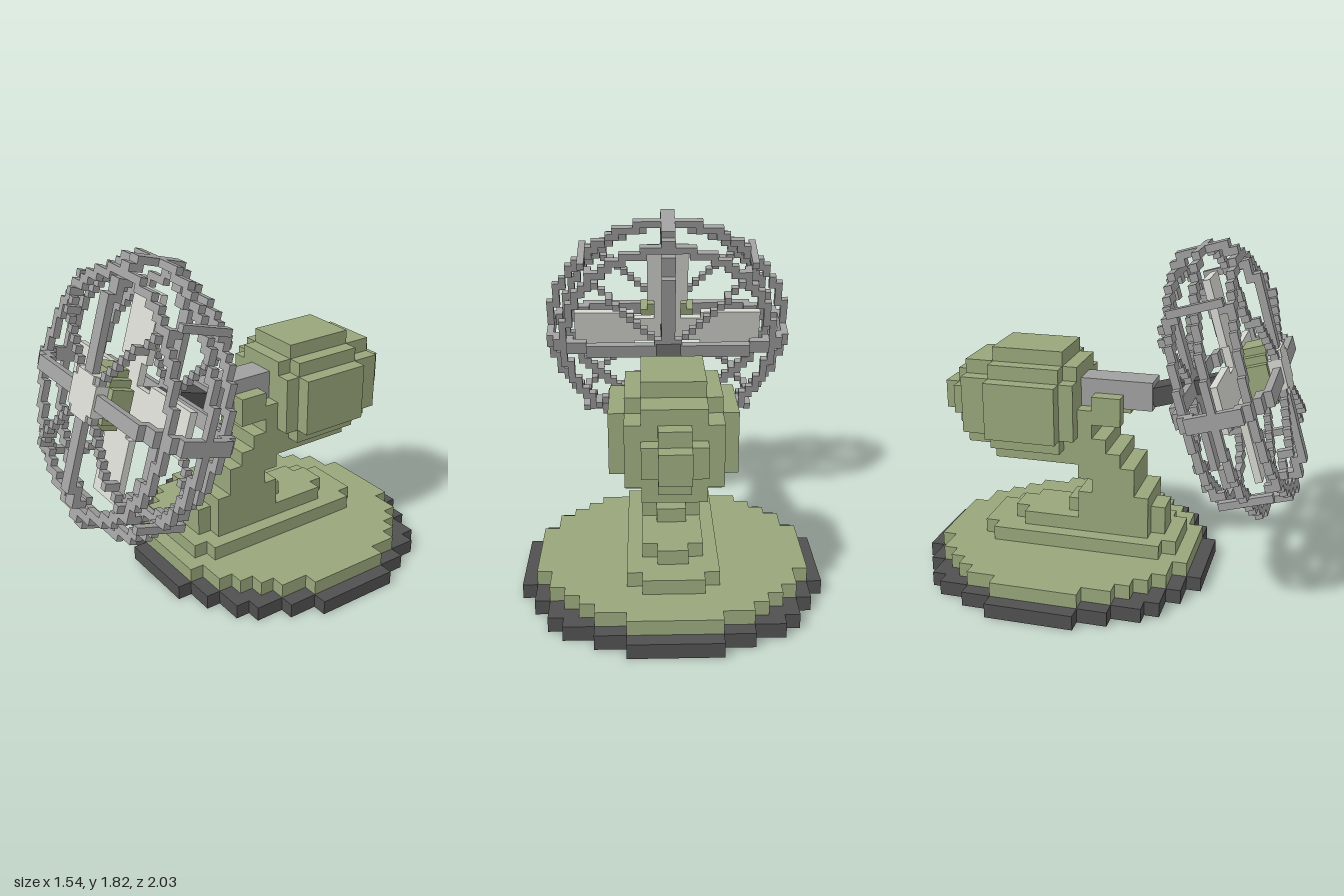
import * as THREE from 'three';
import { mergeGeometries } from 'three/addons/utils/BufferGeometryUtils.js';

const U = 0.077;      // body block
const V = U / 2;      // fan block

const mat = (name, color) => {
  const m = new THREE.MeshStandardMaterial({ color });
  m.name = name;
  return m;
};

// Box from min / max corners
const box = (x0, x1, y0, y1, z0, z1) =>
  new THREE.BoxGeometry(x1 - x0, y1 - y0, z1 - z0)
    .translate((x0 + x1) / 2, (y0 + y1) / 2, (z0 + z1) / 2);

// Blocky disc with a radius of r whole blocks of size s, facing z, between z0 and z1
function blockDisc(r, s, z0, z1) {
  const parts = [];
  let last = 0;
  for (let i = r - 1; i >= 0; i--) {
    const w = Math.round(Math.sqrt(r * r - (i + 0.5) ** 2));
    if (w === last) continue;
    last = w;
    parts.push(box(-w * s, w * s, -(i + 1) * s, (i + 1) * s, z0, z1));
  }
  return mergeGeometries(parts);
}

export function createModel() {
  const green = mat('sage green', 0x98a67b);
  const dark = mat('charcoal', 0x505050);
  const grey = mat('wire grey', 0xa0a0a0);
  const light = mat('pale grey', 0xd6d6d0);

  const model = new THREE.Group();
  const add = (name, geo, m, parent = model) => {
    const mesh = new THREE.Mesh(geo, m);
    mesh.name = name;
    parent.add(mesh);
    return mesh;
  };

  // Round base
  const flat = (r, y0, y1) =>
    blockDisc(r, U, y0, y1).rotateX(-Math.PI / 2).translate(0, 0, -3 * U);
  add('baseFoot', flat(10, 0, U), dark);
  add('basePlate', flat(9, U, 2 * U), green);

  // Stepped pedestal: [y0, y1, z0, z1, half width] in blocks
  const steps = [
    [2, 3, -8, 4, 3], [2, 3, -9, 5, 2],
    [3, 4, -6, 3, 2], [3, 4, -7, 4, 1],
    [4, 5, -2, 3, 2], [4, 5, -3, 4, 1],
    [5, 6, -2, 3, 2], [6, 7, -1, 2, 2], [7, 8, -2, 2, 2],
    [8, 9, -3, 1, 2], [9, 10, -3, 0, 2], [10, 12, -3, -1, 2],
  ];
  add('pedestal', mergeGeometries(steps.map(([y0, y1, z0, z1, w]) =>
    box(-w * U, w * U, y0 * U, y1 * U, z0 * U, z1 * U))), green);
  for (const s of [-1, 1]) {
    add('neckCheek', box(-U / 2, U / 2, 11 * U, 13 * U, -U, U), green).position.x = s * 1.5 * U;
  }

  // Motor housing
  const motor = new THREE.Group();
  motor.name = 'motor';
  motor.position.y = 12 * U;
  model.add(motor);
  for (const [r, z0, z1] of [[4, -8, -3], [3, -10, -2], [2, -11, -10], [1, -12, -11]]) {
    add('motorSection', blockDisc(r, U, z0 * U, z1 * U), green, motor);
  }
  add('driveShaft', box(-U, U, 12 * U, 14 * U, -2 * U, 3 * U), grey);

  // Tilted fan head, local z is the fan axis
  const fan = new THREE.Group();
  fan.name = 'fanHead';
  fan.position.set(0, 1.12, 0.65);
  fan.rotation.x = -0.288;
  model.add(fan);

  // Cage cells, mirrored into all four quadrants
  const cells = new Map();
  const put = (x, y, a) => {
    const i = Math.floor(x), j = Math.floor(y), k = Math.round(a);
    for (const sx of [-1, 1]) for (const sy of [-1, 1]) {
      const c = [sx * (i + 0.5), sy * (j + 0.5), k];
      cells.set(c.join(), c);
    }
  };

  // Cage rings: [radius, offset along axis]
  for (const [r, a] of [[17.5, 0], [15.5, 4], [15.5, -4]]) {
    for (let n = 0; n <= 200; n++) {
      const t = (n / 200) * Math.PI / 2;
      put(r * Math.cos(t), r * Math.sin(t), a);
    }
  }

  // Cage ribs follow one rounded profile: [distance from axis, offset]
  const profile = [[0, 6], [10.5, 6], [13.5, 5], [16, 4], [17.5, 2.4], [17.5, 0]];
  for (let p = 0; p < profile.length - 1; p++) {
    for (let n = 0; n <= 40; n++) {
      const f = n / 40;
      const h = THREE.MathUtils.lerp(profile[p][0], profile[p + 1][0], f);
      const a = THREE.MathUtils.lerp(profile[p][1], profile[p + 1][1], f);
      for (const s of [-1, 1]) {
        put(h, 0, s * a);
        put(0, h, s * a);
        put(h * Math.SQRT1_2, h * Math.SQRT1_2, s * a);
      }
    }
  }
  add('cage', mergeGeometries([...cells.values()].map(([x, y, a]) =>
    new THREE.BoxGeometry(V, V, V).translate(x * V, y * V, a * V))), grey, fan);

  // Four blades
  for (let n = 0; n < 4; n++) {
    const blade = add('blade', mergeGeometries([
      box(-2 * V, 2 * V, V, 5 * V, -V / 2, V / 2),
      box(-3 * V, 3 * V, 5 * V, 14 * V, -V / 2, V / 2),
    ]), light, fan);
    blade.rotation.z = n * Math.PI / 2;
  }

  // Hub, front cap and axle
  add('hub', blockDisc(4, V, 2 * V, 5 * V), green, fan);
  add('hubCap', blockDisc(3, V, 5 * V, 6.8 * V), light, fan);
  add('axle', box(-V, V, -V, V, -8 * V, 2 * V), dark, fan);
  add('axleCollar', box(-1.8 * V, 1.8 * V, -1.3 * V, 1.3 * V, -11.5 * V, -6.5 * V), dark, fan);

  return model;
}
